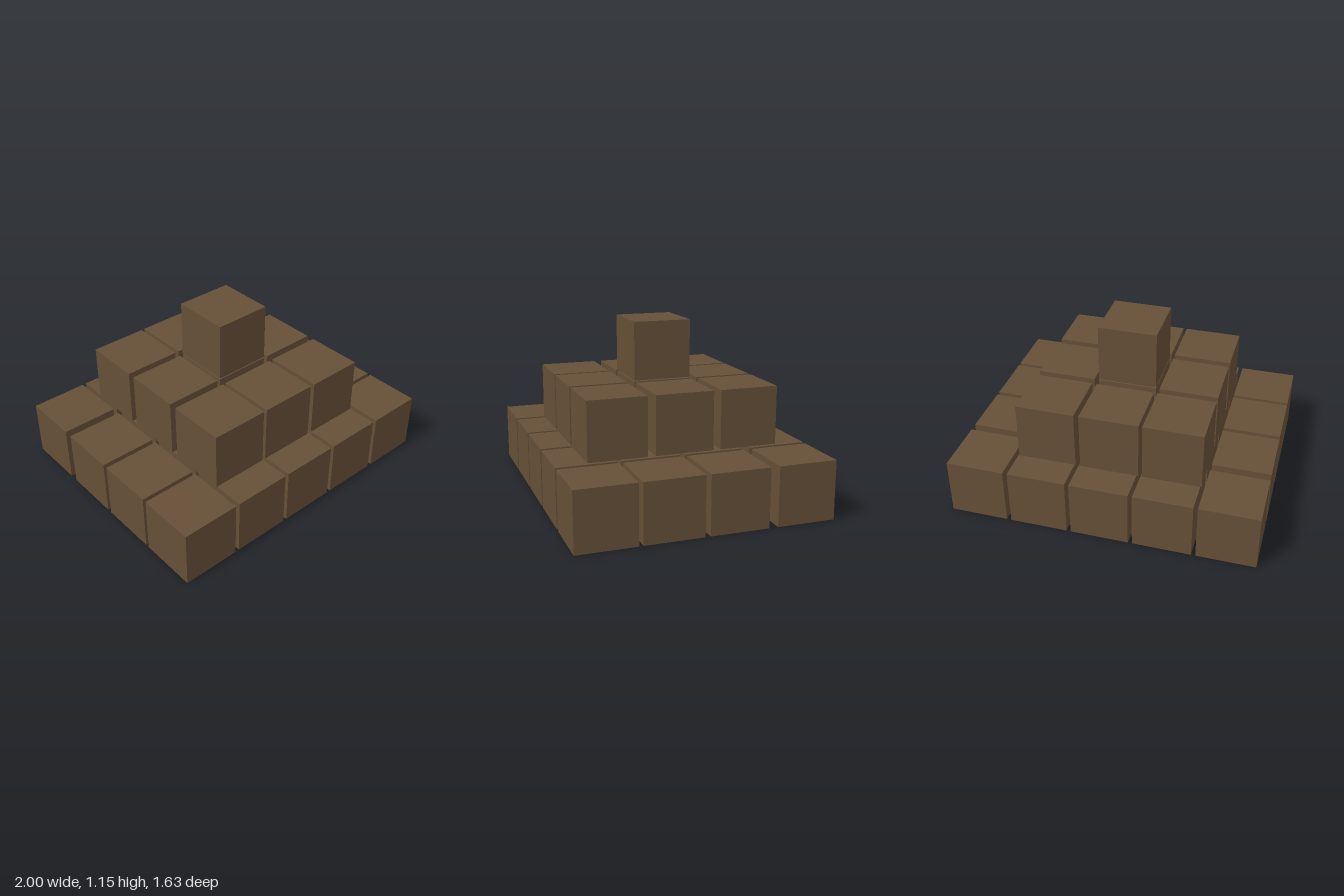
import * as THREE from 'three';

const SIZE = 0.378;

export function createModel() {
  const model = new THREE.Group();
  model.name = 'blockPyramid';
  const material = new THREE.MeshStandardMaterial({ color: 0x664f37 });
  const cube = new THREE.BoxGeometry(SIZE, SIZE, SIZE);

  // Each layer is a grid of equal cubes with slightly uneven gaps
  const layers = [
    { name: 'bottomLayer', y: 0, xs: [-0.811, -0.406, -0.002, 0.403, 0.811], zs: [-0.624, -0.189, 0.221, 0.625] },
    { name: 'middleLayer', y: 0.384, xs: [-0.416, -0.015, 0.394], zs: [-0.428, -0.001, 0.428] },
    { name: 'topLayer', y: 0.769, xs: [-0.015], zs: [-0.001] },
  ];

  for (const { name, y, xs, zs } of layers) {
    const layer = new THREE.Group();
    layer.name = name;
    layer.position.y = y + SIZE / 2;
    for (const x of xs) {
      for (const z of zs) {
        const block = new THREE.Mesh(cube, material);
        block.name = 'block';
        block.position.set(x, 0, z);
        layer.add(block);
      }
    }
    model.add(layer);
  }
  return model;
}
